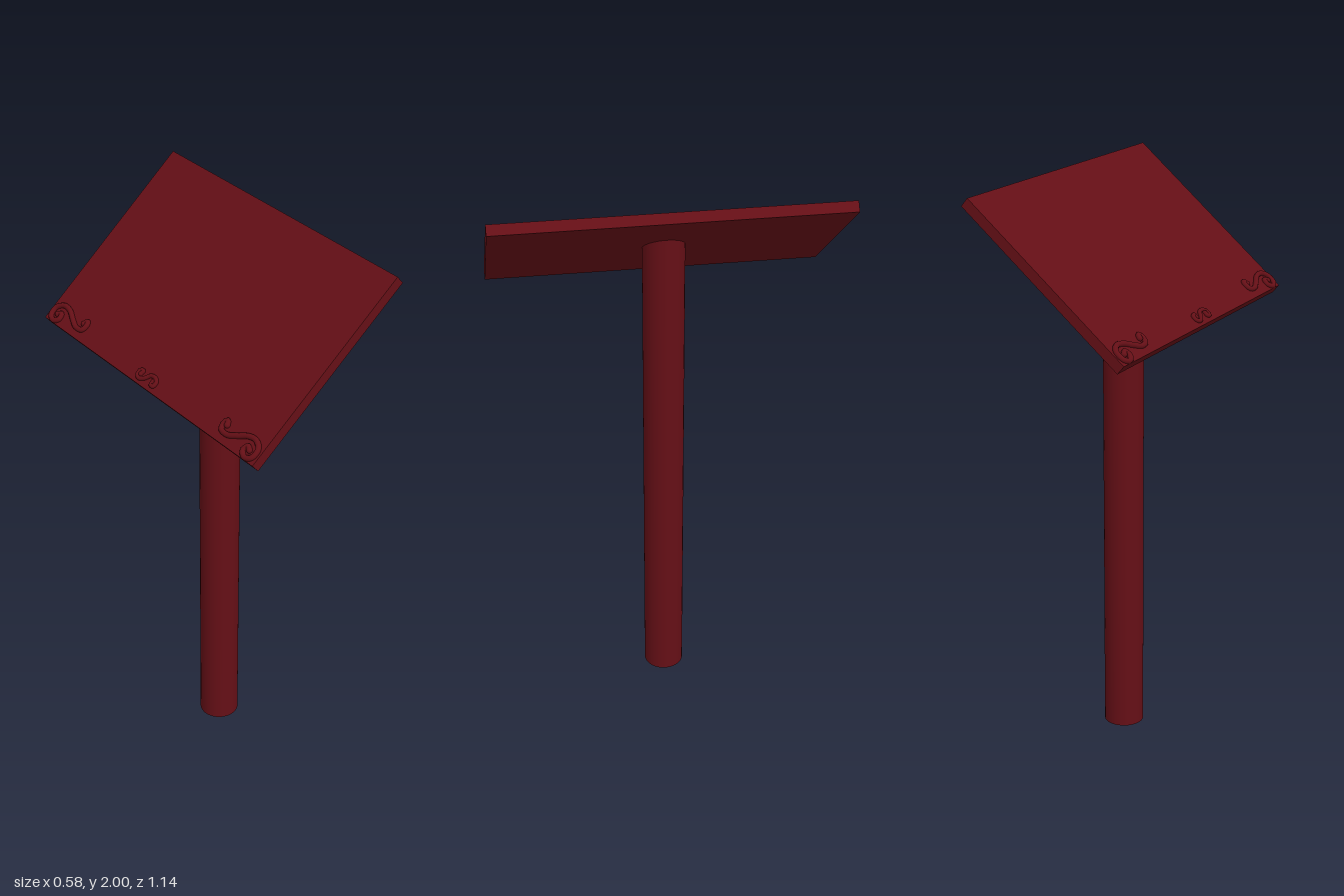
import * as THREE from 'three';

const TILT = THREE.MathUtils.degToRad(40);
const CENTRE_Y = 1.755;
const THICK = 0.036;

// Scroll centre lines as [x, z] seen from above
const CORNER_SCROLL = [
  [-0.261, 0.527], [-0.255, 0.512], [-0.27, 0.506], [-0.281, 0.527], [-0.272, 0.552],
  [-0.248, 0.553], [-0.233, 0.524], [-0.236, 0.488], [-0.25, 0.452], [-0.262, 0.415],
  [-0.258, 0.384], [-0.241, 0.378], [-0.233, 0.386], [-0.243, 0.394],
];
const MIDDLE_SCROLL = [
  [-0.263, -0.037], [-0.253, -0.035], [-0.255, -0.047], [-0.268, -0.048], [-0.274, -0.032],
  [-0.266, -0.012], [-0.253, 0.004], [-0.25, 0.024], [-0.258, 0.042], [-0.271, 0.04],
  [-0.27, 0.028], [-0.261, 0.028],
];

export function createModel() {
  const model = new THREE.Group();
  const wood = new THREE.MeshStandardMaterial({ color: 0x650f16 });

  const add = (parent, geometry, name) => {
    const mesh = new THREE.Mesh(geometry, wood);
    mesh.name = name;
    parent.add(mesh);
    return mesh;
  };

  // Round post, its top cut parallel to the sloping board
  const postGeometry = new THREE.CylinderGeometry(0.07, 0.07, 1, 32).translate(0.03, 0.5, 0);
  const p = postGeometry.attributes.position;
  for (let i = 0; i < p.count; i++) {
    if (p.getY(i) > 0.5) p.setY(i, CENTRE_Y + Math.tan(TILT) * p.getX(i));
  }
  add(model, postGeometry, 'post');

  // Tilted reading board
  const top = new THREE.Group();
  top.name = 'deskTop';
  top.position.y = CENTRE_Y;
  top.rotation.z = TILT;
  model.add(top);
  add(top, new THREE.BoxGeometry(0.72, THICK, 1.144), 'board');

  // Raised scroll ornaments with rounded ends along the lower edge
  const addScroll = (path, radius, mirror, name) => {
    const points = path.map(([x, z]) => new THREE.Vector3(
      (x + THICK / 2 * Math.sin(TILT)) / Math.cos(TILT), THICK / 2 + 0.003, z * mirror));
    const scroll = new THREE.Group();
    scroll.name = name;
    top.add(scroll);
    const curve = new THREE.CatmullRomCurve3(points);
    add(scroll, new THREE.TubeGeometry(curve, 90, radius, 10), 'scrollStem');
    for (const end of [points[0], points[points.length - 1]]) {
      add(scroll, new THREE.SphereGeometry(radius * 1.1, 12, 8), 'scrollEnd').position.copy(end);
    }
  };
  addScroll(CORNER_SCROLL, 0.0095, 1, 'frontScroll');
  addScroll(CORNER_SCROLL, 0.0095, -1, 'backScroll');
  addScroll(MIDDLE_SCROLL, 0.0075, 1, 'middleScroll');

  return model;
}
